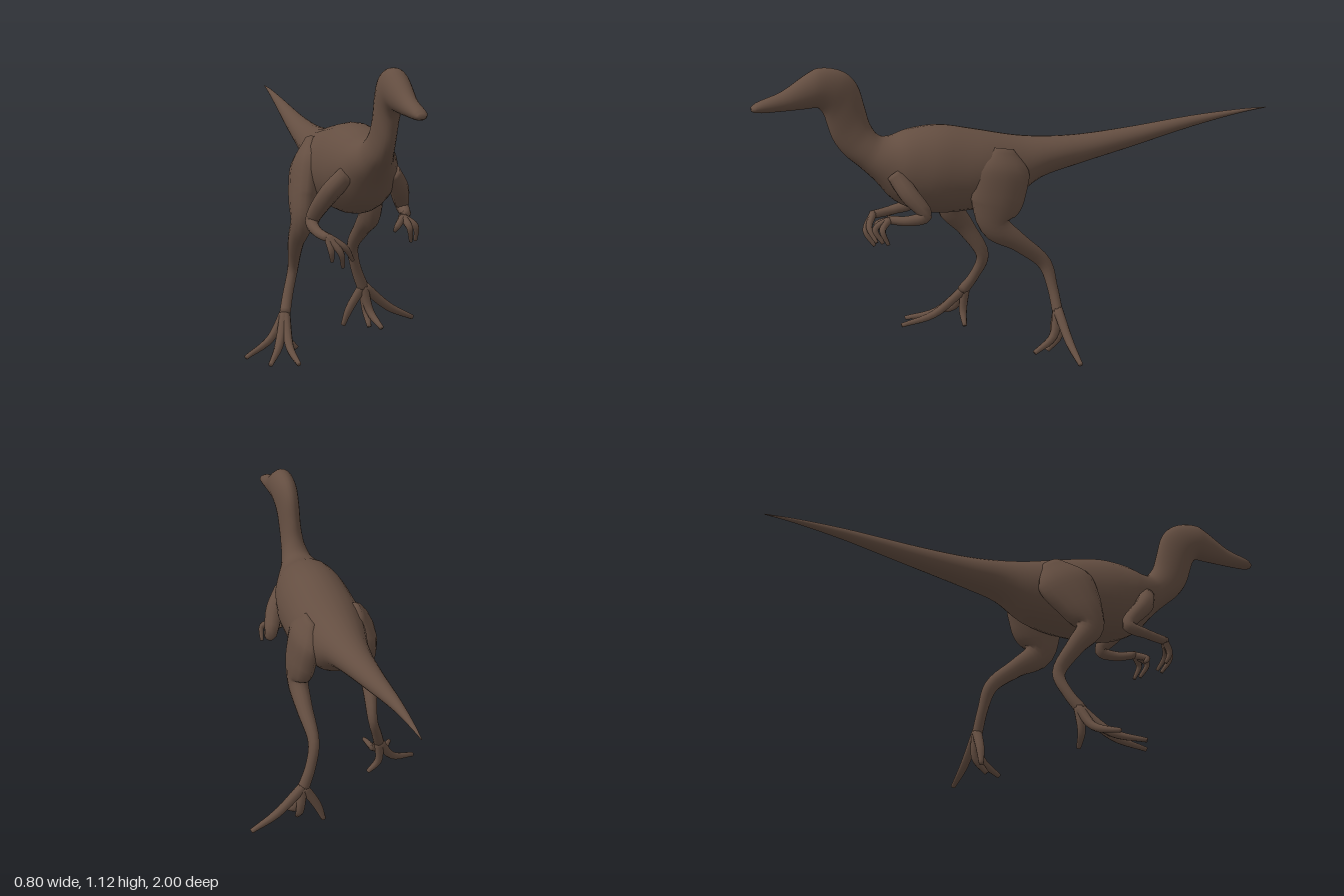
import * as THREE from 'three';

const V = (x, y, z) => new THREE.Vector3(x, y, z);
const hide = new THREE.MeshStandardMaterial({ color: 0x644e41 });
hide.name = 'brown hide';

// Skin a list of rings { c, u, v } (centre and two half-axes, u x v along the path), closing both ends
function skin(name, rings, sides) {
  const pos = [], idx = [];
  const first = rings[0], last = rings[rings.length - 1], zero = V(0, 0, 0);
  const all = [{ c: first.c, u: zero, v: zero }, ...rings, { c: last.c, u: zero, v: zero }];
  all.forEach(({ c, u, v }, i) => {
    for (let j = 0; j < sides; j++) {
      const a = (j / sides) * Math.PI * 2;
      const p = c.clone().addScaledVector(u, Math.cos(a)).addScaledVector(v, Math.sin(a));
      pos.push(p.x, p.y, p.z);
      if (i === all.length - 1) continue;
      const k = (j + 1) % sides, r = i * sides, s = r + sides;
      idx.push(r + j, r + k, s + j, r + k, s + k, s + j);
    }
  });
  const g = new THREE.BufferGeometry();
  g.setAttribute('position', new THREE.Float32BufferAttribute(pos, 3));
  g.setIndex(idx);
  g.computeVertexNormals();
  const mesh = new THREE.Mesh(g, hide);
  mesh.name = name;
  return mesh;
}

// Tapered limb through points [x, y, z, radius, second radius]
function limb(name, pts, { ref, sides = 10, steps = 5 } = {}) {
  const path = new THREE.CatmullRomCurve3(pts.map(p => V(p[0], p[1], p[2])));
  const size = new THREE.CatmullRomCurve3(pts.map(p => V(p[3], p[4] ?? p[3], 0)));
  if (!ref) {
    const d = path.getPoint(1).sub(path.getPoint(0)).toArray().map(Math.abs);
    const k = d.indexOf(Math.min(...d));
    ref = V(+(k === 0), +(k === 1), +(k === 2));
  }
  const n = (pts.length - 1) * steps, rings = [];
  for (let i = 0; i <= n; i++) {
    const t = path.getTangent(i / n), s = size.getPoint(i / n);
    const u = ref.clone().addScaledVector(t, -ref.dot(t)).normalize();
    const v = t.clone().cross(u);
    rings.push({ c: path.getPoint(i / n), u: u.multiplyScalar(s.x), v: v.multiplyScalar(s.y) });
  }
  return skin(name, rings, sides);
}

// Head, neck, trunk and tail: back z, back y, underside z, underside y, half width, centre x
function body() {
  const s = [
    [1.0, 0.99, 1.0, 0.974, 0.014, -0.01],
    [0.98, 1.005, 0.985, 0.968, 0.025, -0.01],
    [0.89, 1.038, 0.88, 0.967, 0.032, -0.01],
    [0.80, 1.095, 0.80, 0.97, 0.045, -0.01],
    [0.75, 1.118, 0.757, 0.97, 0.05, -0.01],
    [0.66, 1.10, 0.737, 0.947, 0.047, -0.01],
    [0.61, 1.05, 0.725, 0.91, 0.042, -0.01],
    [0.582, 0.96, 0.705, 0.85, 0.04, -0.01],
    [0.563, 0.895, 0.665, 0.79, 0.045, -0.01],
    [0.53, 0.852, 0.605, 0.735, 0.062, -0.01],
    [0.49, 0.846, 0.55, 0.68, 0.09, -0.01],
    [0.42, 0.867, 0.48, 0.60, 0.122, -0.008],
    [0.30, 0.877, 0.37, 0.55, 0.142, -0.005],
    [0.17, 0.852, 0.20, 0.543, 0.145, -0.005],
    [0.0, 0.815, 0.03, 0.575, 0.113, -0.005],
    [-0.12, 0.803, -0.08, 0.645, 0.083, 0],
    [-0.25, 0.802, -0.23, 0.686, 0.06, 0.003],
    [-0.45, 0.818, -0.44, 0.737, 0.04, 0.01],
    [-0.70, 0.848, -0.70, 0.805, 0.021, 0.024],
    [-0.90, 0.864, -0.90, 0.849, 0.009, 0.04],
    [-1.0, 0.867, -1.0, 0.864, 0.002, 0.048],
  ];
  const back = new THREE.CatmullRomCurve3(s.map(p => V(p[5], p[1], p[0])));
  const under = new THREE.CatmullRomCurve3(s.map(p => V(p[5], p[3], p[2])));
  const width = new THREE.CatmullRomCurve3(s.map(p => V(p[4], 0, 0)));
  const rings = [], n = (s.length - 1) * 4;
  for (let i = 0; i <= n; i++) {
    const a = back.getPoint(i / n), b = under.getPoint(i / n);
    rings.push({
      c: a.clone().add(b).multiplyScalar(0.5),
      u: a.clone().sub(b).multiplyScalar(0.5),
      v: V(width.getPoint(i / n).x, 0, 0),
    });
  }
  return skin('body', rings, 24);
}

// Toes or fingers fanning out from one base: each digit is [middle, tip]
function digits(name, base, list, r) {
  const g = new THREE.Group();
  g.name = name;
  list.forEach(([m, t], i) => g.add(limb(`${name}Digit${i + 1}`,
    [[...base, r * 1.2], [...m, r], [...t, r * 0.55]], { sides: 8 })));
  return g;
}

export function createModel() {
  const model = new THREE.Group();
  model.name = 'dinosaur';
  const side = { ref: V(1, 0, 0), sides: 14 };
  model.add(body());

  // Legs: thigh, shank and upright foot in one skin
  model.add(limb('leftLeg', [
    [0.085, 0.79, 0.08, 0.02, 0.04],
    [0.105, 0.70, 0.095, 0.052, 0.112],
    [0.117, 0.60, 0.115, 0.05, 0.105],
    [0.125, 0.51, 0.125, 0.04, 0.06],
    [0.128, 0.435, 0.035, 0.032, 0.036],
    [0.124, 0.34, -0.07, 0.022, 0.027],
    [0.145, 0.25, -0.095, 0.021, 0.02],
    [0.182, 0.155, -0.105, 0.024, 0.02],
  ], side));
  model.add(limb('rightLeg', [
    [-0.10, 0.79, 0.09, 0.02, 0.04],
    [-0.135, 0.69, 0.135, 0.052, 0.115],
    [-0.16, 0.59, 0.185, 0.05, 0.09],
    [-0.172, 0.51, 0.215, 0.042, 0.055],
    [-0.178, 0.42, 0.155, 0.03, 0.036],
    [-0.17, 0.30, 0.088, 0.019, 0.025],
    [-0.198, 0.21, 0.115, 0.02, 0.02],
    [-0.222, 0.145, 0.155, 0.021, 0.023],
  ], side));

  // Feet
  model.add(digits('leftFoot', [0.18, 0.17, -0.105], [
    [[0.29, 0.075, -0.115], [0.395, 0.022, -0.123]],
    [[0.20, 0.07, -0.08], [0.22, 0.02, 0.0]],
    [[0.192, 0.07, -0.105], [0.19, 0.014, -0.06]],
    [[0.125, 0.08, -0.11], [0.10, 0.014, -0.115]],
  ], 0.017));
  model.add(digits('rightFoot', [-0.218, 0.155, 0.145], [
    [[-0.285, 0.06, 0.175], [-0.395, 0.011, 0.23]],
    [[-0.275, 0.05, 0.25], [-0.34, 0.012, 0.36]],
    [[-0.24, 0.05, 0.27], [-0.245, 0.016, 0.40]],
    [[-0.22, 0.06, 0.155], [-0.178, 0.012, 0.16]],
  ], 0.016));

  // Arms
  model.add(limb('leftArm', [
    [0.07, 0.72, 0.49, 0.035],
    [0.115, 0.655, 0.455, 0.036],
    [0.15, 0.575, 0.40, 0.025],
    [0.14, 0.558, 0.46, 0.019],
    [0.10, 0.558, 0.53, 0.015],
  ]));
  model.add(limb('rightArm', [
    [-0.09, 0.72, 0.49, 0.035],
    [-0.145, 0.65, 0.455, 0.036],
    [-0.185, 0.535, 0.37, 0.025],
    [-0.19, 0.51, 0.44, 0.019],
    [-0.175, 0.50, 0.53, 0.016],
  ]));

  // Hands with hooked fingers
  model.add(digits('leftHand', [0.105, 0.558, 0.525], [
    [[0.07, 0.535, 0.565], [0.065, 0.515, 0.55]],
    [[0.11, 0.53, 0.58], [0.125, 0.475, 0.555]],
    [[0.14, 0.53, 0.56], [0.148, 0.475, 0.54]],
  ], 0.012));
  model.add(digits('rightHand', [-0.177, 0.505, 0.52], [
    [[-0.17, 0.455, 0.545], [-0.162, 0.415, 0.53]],
    [[-0.14, 0.45, 0.56], [-0.122, 0.392, 0.53]],
    [[-0.12, 0.465, 0.55], [-0.085, 0.415, 0.53]],
  ], 0.012));
  return model;
}
